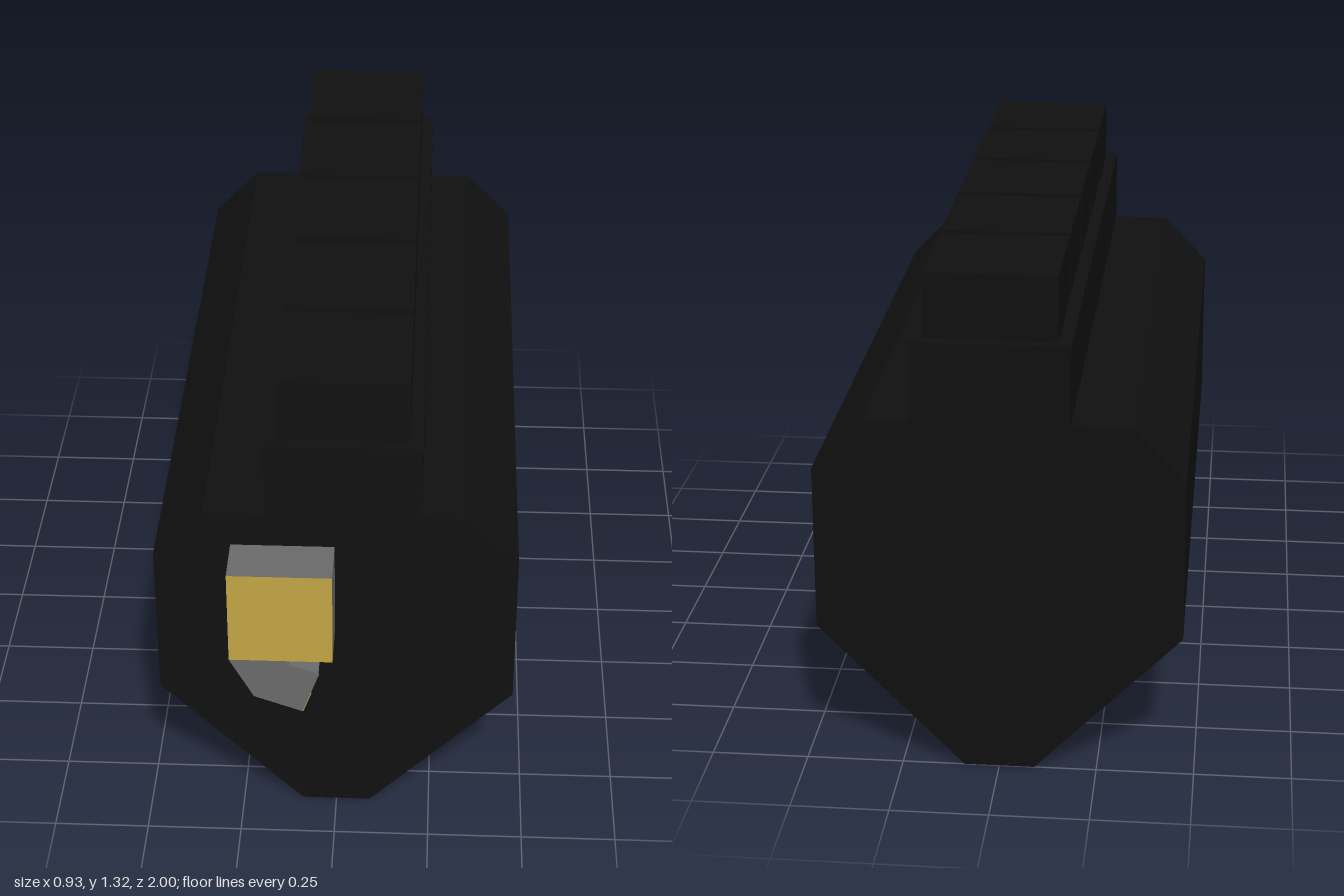
import * as THREE from 'three';

const mat = (name, color) => {
  const m = new THREE.MeshStandardMaterial({ color });
  m.name = name;
  return m;
};

export function createModel() {
  const group = new THREE.Group();
  const black = mat('black', 0x101010);
  const grey = mat('grey', 0x6a6a6a);
  const gold = mat('gold', 0xc2a646);

  const add = (name, geometry, material) => {
    const mesh = new THREE.Mesh(geometry, material);
    mesh.name = name;
    group.add(mesh);
    return mesh;
  };
  // Box given by its extents on each axis
  const box = (name, [x0, x1], [y0, y1], [z0, z1], material) => {
    const mesh = add(name, new THREE.BoxGeometry(x1 - x0, y1 - y0, z1 - z0), material);
    mesh.position.set((x0 + x1) / 2, (y0 + y1) / 2, (z0 + z1) / 2);
    return mesh;
  };
  // Front outline extruded between two depths
  const prism = (name, points, z0, z1, material) => {
    const shape = new THREE.Shape(points.map(([x, y]) => new THREE.Vector2(x, y)));
    const geometry = new THREE.ExtrudeGeometry(shape, { depth: z1 - z0, bevelEnabled: false });
    geometry.translate(0, 0, z0);
    return add(name, geometry, material);
  };

  const front = 0.867;

  // Eight-sided housing
  prism('housing', [
    [-0.09, 0], [0.09, 0], [0.465, 0.38], [0.465, 0.81],
    [0.335, 0.943], [-0.335, 0.943], [-0.465, 0.81], [-0.465, 0.38],
  ], -1, front, black);

  // Mounting rail with five blocks on top
  box('railBase', [-0.18, 0.218], [0.93, 1.148], [-1, front], black);
  for (let i = 0; i < 5; i++) {
    const z1 = 0.835 - i * 0.3675;
    box('railBlock', [-0.147, 0.185], [1.14, 1.316], [z1 - 0.335, z1], black);
  }

  // Square lens block with a gold front face
  box('lensBlock', [-0.267, -0.002], [0.58, 0.846], [front, 1],
    [grey, grey, grey, grey, gold, grey]);

  // Tilted lower block
  const low = [-0.08, 0.416], high = [-0.036, 0.541];
  prism('lowerBlock', [
    [-0.267, 0.58], [-0.205, 0.462], low, high, [-0.115, 0.568], [-0.115, 0.58],
  ], front, 1, grey);

  // Gold and black halves of its slanted side
  const dx = high[0] - low[0], dy = high[1] - low[1];
  [['lowerLens', 0.25, gold], ['lowerLensShade', 0.75, black]].forEach(([name, t, material]) => {
    const plate = add(name, new THREE.BoxGeometry(Math.hypot(dx, dy) / 2, 0.004, 1 - front), material);
    plate.position.set(low[0] + dx * t, low[1] + dy * t, (front + 1) / 2 - 0.001);
    plate.rotation.z = Math.atan2(dy, dx);
  });

  return group;
}
